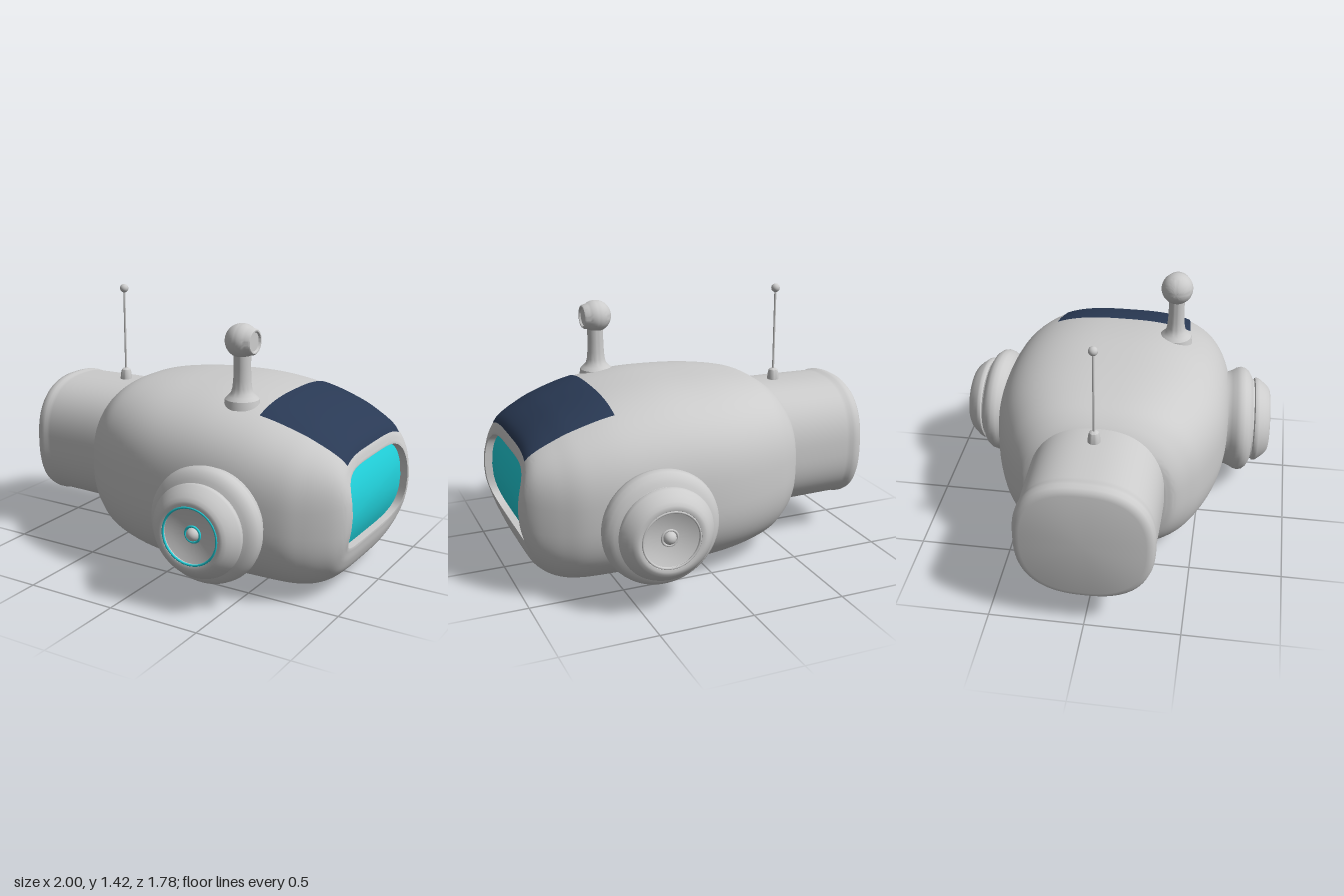
import * as THREE from 'three';
import { toCreasedNormals } from 'three/addons/utils/BufferGeometryUtils.js';

const SEG = 96;
const material = (color) => new THREE.MeshStandardMaterial({ color });
const grey = material(0xcccccc);
const cyan = material(0x22d3dd);
const navy = material(0x2a3a55);

function add(parent, name, geometry, mat = grey, x = 0, y = 0, z = 0) {
  const mesh = new THREE.Mesh(geometry, mat);
  mesh.name = name;
  mesh.position.set(x, y, z);
  parent.add(mesh);
  return mesh;
}

// A ring is [x, top, bottom, halfWidth, exponent, bend]: a superellipse across x,
// bent back by "bend" at its top and bottom.
function ringPoint([x, top, bottom, hw, n, bend], a) {
  const pow = (v) => Math.sign(v) * Math.abs(v) ** (2 / n);
  const s = pow(Math.sin(a));
  return [x - bend * s * s, (top + bottom) / 2 + ((top - bottom) / 2) * s, hw * pow(Math.cos(a))];
}

// Ring scaled about its centre and shifted along x
function resize([x, top, bottom, hw, n, bend], k, dx = 0) {
  const c = (top + bottom) / 2;
  return [x + dx, c + (top - c) * k, c + (bottom - c) * k, hw * k, n, bend * k * k];
}

function loft(rings, crease = 0.6) {
  const pos = [], index = [];
  rings.forEach((ring, i) => {
    for (let j = 0; j < SEG; j++) {
      pos.push(...ringPoint(ring, (j / SEG) * Math.PI * 2));
      if (i === rings.length - 1) continue;
      const a = i * SEG + j, b = i * SEG + ((j + 1) % SEG);
      index.push(a, a + SEG, b, b, a + SEG, b + SEG);
    }
  });
  const g = new THREE.BufferGeometry();
  g.setAttribute('position', new THREE.Float32BufferAttribute(pos, 3));
  g.setIndex(index);
  return toCreasedNormals(g, crease);
}

function lathe(points, seg = 64) {
  return toCreasedNormals(new THREE.LatheGeometry(points.map((p) => new THREE.Vector2(...p)), seg), 0.6);
}

// Key sections of the hull from back to front
const hullKeys = [
  [-0.56, 0.78, 0.22, 0.36, 2.6, 0],
  [-0.54, 0.83, 0.16, 0.41, 2.6, 0],
  [-0.48, 0.895, 0.1, 0.465, 2.6, 0],
  [-0.38, 0.945, 0.05, 0.53, 2.65, 0],
  [-0.2, 0.975, 0.02, 0.6, 2.7, 0],
  [0, 0.988, 0.005, 0.64, 2.7, 0],
  [0.25, 0.988, 0, 0.648, 2.7, 0],
  [0.5, 0.955, 0, 0.635, 2.7, 0],
  [0.7, 0.895, 0.005, 0.595, 2.8, 0],
  [0.82, 0.84, 0.035, 0.54, 3, 0.005],
  [0.92, 0.785, 0.1, 0.475, 3.4, 0.025],
  [0.975, 0.735, 0.17, 0.42, 4, 0.045],
  [1, 0.685, 0.24, 0.37, 4.5, 0.055],
];
const spline = (k) => new THREE.CatmullRomCurve3(
  hullKeys.map((r) => new THREE.Vector3(r[k], r[k + 1], r[k + 2])), false, 'catmullrom');
const splineA = spline(0), splineB = spline(3);
function hullRing(i) {
  const t = i / (hullKeys.length - 1);
  return [...splineA.getPoint(t).toArray(), ...splineB.getPoint(t).toArray()];
}

function buildHull(group) {
  const rings = [resize(hullKeys[0], 0)];
  for (let i = 0; i <= 72; i++) rings.push(hullRing(i / 6));
  const rim = hullKeys[12];
  const lip = resize(rim, 0.97, -0.004);
  rings.push(lip, resize(lip, 0.99, -0.05));
  add(group, 'hull', loft(rings));

  // Recessed front window, following the curve of the rim
  add(group, 'window', loft([1, 0.8, 0.6, 0.4, 0.2, 0].map((k) => resize(lip, k, -0.04))), cyan);

  // Dark panel laid on the sloping top of the hull
  const g = new THREE.PlaneGeometry(1, 1, 32, 32);
  const p = g.attributes.position;
  for (let i = 0; i < p.count; i++) {
    const u = p.getX(i) + 0.5;
    const [x, top, bottom, hw, n, bend] = hullRing(6.96 + u * 4.04);
    const z = -2 * p.getY(i) * (0.39 - 0.06 * u);
    const s = (1 - Math.abs(z / hw) ** n) ** (1 / n);
    p.setXYZ(i, x - bend * s * s + 0.006 * u, (top + bottom) / 2 + ((top - bottom) / 2) * s + 0.007, z);
  }
  g.computeVertexNormals();
  const mat = navy.clone();
  mat.side = THREE.DoubleSide;
  add(group, 'topPanel', g, mat);
}

function buildRearPack(group) {
  const base = [0, 0.88, 0.18, 0.357, 2.5, 0];
  const steps = [[-1, 0], [-1, 0.88], [-0.994, 0.94], [-0.98, 0.98], [-0.955, 1],
    [-0.935, 1], [-0.92, 0.985], [-0.9, 0.985], [-0.65, 0.995], [-0.4, 0.995]];
  add(group, 'rearPack', loft(steps.map(([x, k]) => resize(base, k, x))));
}

// Side pod with a bulging collar, outer disc and dished face
function buildPod(group, side) {
  const pod = new THREE.Group();
  pod.name = side > 0 ? 'leftPod' : 'rightPod';
  pod.position.set(0.373, 0.415, side * 0.7);
  pod.rotation.set((side * Math.PI) / 2, 0, 0);
  const tilt = new THREE.Group();
  tilt.name = 'podBody';
  tilt.rotation.z = -0.06;
  pod.add(tilt);
  add(tilt, 'podShell', lathe([
    [0.27, -0.22], [0.272, -0.07], [0.282, -0.045], [0.297, -0.02], [0.303, 0.005], [0.297, 0.03],
    [0.28, 0.052], [0.255, 0.066], [0.236, 0.074], [0.232, 0.082], [0.241, 0.088], [0.243, 0.1],
    [0.238, 0.112], [0.215, 0.142], [0.195, 0.164], [0.178, 0.175], [0.165, 0.178], [0.152, 0.175],
    [0.143, 0.16], [0.11, 0.148], [0.06, 0.138], [0, 0.134],
  ]));
  add(tilt, 'podHub', new THREE.SphereGeometry(0.034, 24, 16), grey, 0, 0.137, 0);
  for (const [r, y] of [[0.146, 0.172], [0.04, 0.14]]) {
    add(tilt, 'podRing', new THREE.TorusGeometry(r, 0.006, 8, 64), side > 0 ? cyan : grey, 0, y, 0)
      .rotation.x = Math.PI / 2;
  }
  group.add(pod);
}

function buildPeriscope(group) {
  const scope = new THREE.Group();
  scope.name = 'periscope';
  scope.position.set(0.348, 0, 0.315);
  add(scope, 'periscopeStem', lathe([
    [0.095, 0.92], [0.088, 0.962], [0.072, 0.978], [0.057, 0.995], [0.05, 1.02], [0.046, 1.06],
    [0.044, 1.12], [0.044, 1.22],
  ], 40));
  // Ball with a flattened, recessed lens facing forward along x
  const profile = [];
  for (let i = 0; i <= 16; i++) {
    const a = -Math.PI / 2 + (i / 16) * 2.2;
    profile.push([Math.max(0, 0.087 * Math.cos(a)), 0.087 * Math.sin(a)]);
  }
  profile.push([0.066, 0.072], [0.06, 0.078], [0.053, 0.078], [0.048, 0.068], [0, 0.068]);
  add(scope, 'periscopeHead', lathe(profile, 48), grey, -0.003, 1.26, 0).rotation.z = -Math.PI / 2;
  group.add(scope);
}

function buildAntenna(group) {
  const antenna = new THREE.Group();
  antenna.name = 'antenna';
  antenna.position.set(-0.605, 0, 0);
  add(antenna, 'antennaBase', lathe([
    [0.034, 0.86], [0.033, 0.885], [0.029, 0.915], [0.024, 0.932], [0.014, 0.94], [0, 0.942],
  ], 24));
  add(antenna, 'antennaRod', new THREE.CylinderGeometry(0.006, 0.006, 0.47, 12), grey, 0, 1.155, 0);
  add(antenna, 'antennaTip', new THREE.SphereGeometry(0.024, 20, 14), grey, 0, 1.4, 0);
  group.add(antenna);
}

export function createModel() {
  const group = new THREE.Group();
  group.name = 'submersible';
  buildHull(group);
  buildRearPack(group);
  for (const side of [1, -1]) buildPod(group, side);
  buildPeriscope(group);
  buildAntenna(group);
  return group;
}
